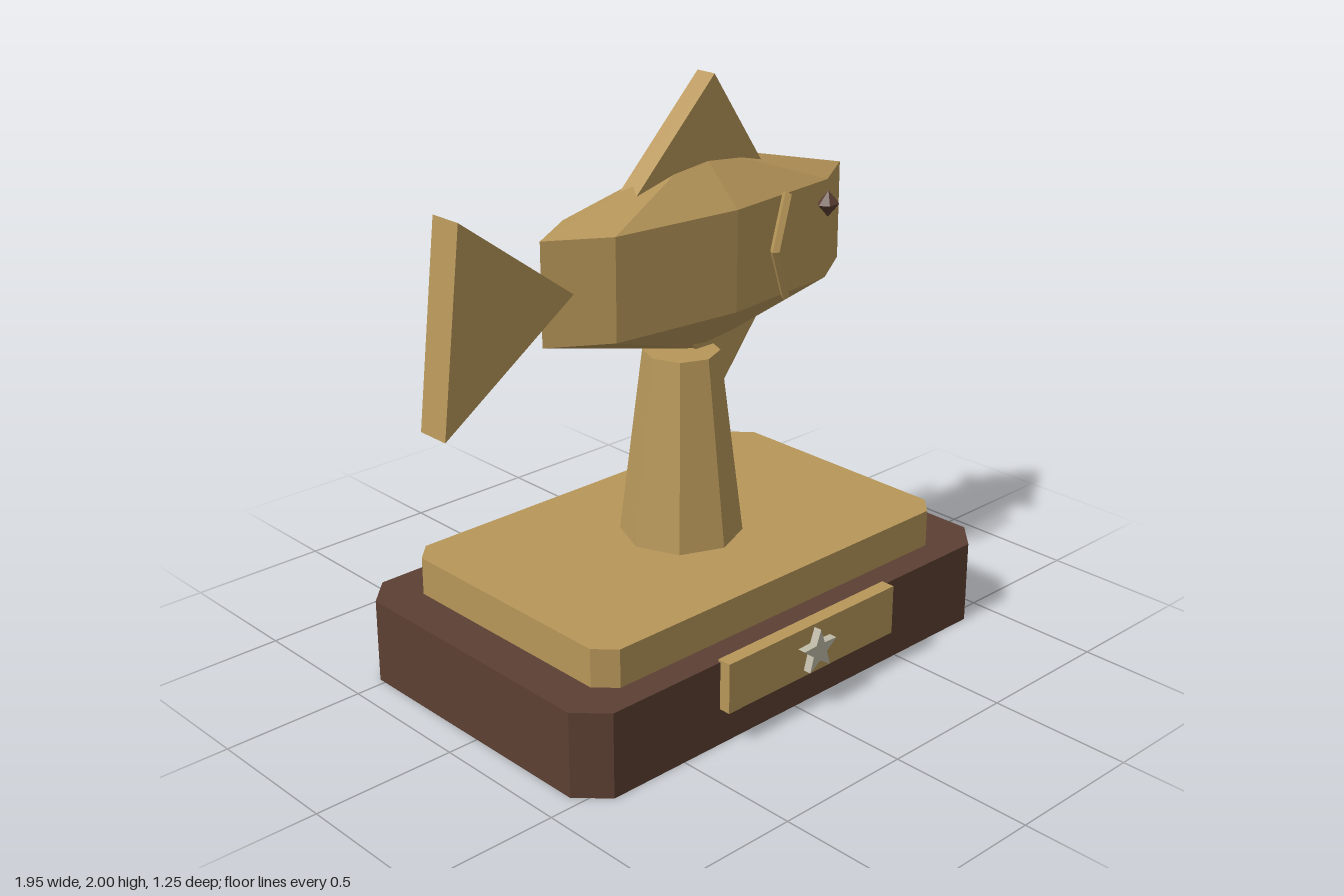
import * as THREE from 'three';

const CX = 0.042, CZ = -0.034; // axis shared by plinth, pedestal and fish

function material(color, extra = {}) {
  return new THREE.MeshStandardMaterial({ color, flatShading: true, ...extra });
}

// Extrudes an outline of [x, y] points, centred on local z = 0
function prism(points, depth) {
  const shape = new THREE.Shape(points.map(([x, y]) => new THREE.Vector2(x, y)));
  return new THREE.ExtrudeGeometry(shape, { depth, bevelEnabled: false }).translate(0, 0, -depth / 2);
}

// Slab with cut corners, standing on y = 0
function chamferedSlab(w, h, d, c) {
  const x = w / 2, z = d / 2;
  const outline = [
    [-x + c, -z], [x - c, -z], [x, -z + c], [x, z - c],
    [x - c, z], [-x + c, z], [-x, z - c], [-x, -z + c],
  ];
  return prism(outline, h).rotateX(-Math.PI / 2).translate(0, h / 2, 0);
}

export function createModel() {
  const model = new THREE.Group();
  const gold = material(0xb8975a);
  const wood = material(0x5c4033);
  const silver = material(0xc0bba8);
  const goldOpen = material(0xb8975a, { side: THREE.DoubleSide });

  function add(name, geometry, mat, x, y, z, parent = model) {
    const mesh = new THREE.Mesh(geometry, mat);
    mesh.name = name;
    mesh.position.set(x, y, z);
    parent.add(mesh);
    return mesh;
  }

  // Plinth
  add('base', chamferedSlab(1.865, 0.297, 1.176, 0.096), wood, CX, 0, CZ);
  add('upperBase', chamferedSlab(1.57, 0.133, 0.98, 0.065), gold, CX, 0.297, CZ);

  // Plaque with a star
  add('plaque', new THREE.BoxGeometry(0.776, 0.176, 0.05), gold, CX, 0.217, 0.57);
  const star = [];
  for (let i = 0; i < 10; i++) {
    const r = i % 2 ? 0.033 : 0.079;
    const a = Math.PI / 2 + (i * Math.PI) / 5;
    star.push([r * Math.cos(a), r * Math.sin(a)]);
  }
  add('star', prism(star, 0.03), silver, CX, 0.216, 0.609);

  // Tapered eight-sided pedestal
  add('pedestal', new THREE.CylinderGeometry(0.13, 0.21, 0.655, 8), gold, CX, 0.7575, CZ);

  // Fish
  const fish = new THREE.Group();
  fish.name = 'fish';
  fish.position.z = CZ;
  model.add(fish);

  const body = new THREE.SphereGeometry(1, 8, 3).scale(0.778, 0.346, 0.202);
  add('body', body, gold, 0.124, 1.412, 0, fish);

  add('dorsalFin', prism([[-0.19, 1.66], [0.38, 1.66], [0.15, 2]], 0.078), gold, 0, 0, 0, fish);
  add('tailFin', prism([[-0.47, 1.412], [-0.9, 1.73], [-0.98, 1.065]], 0.12), gold, 0, 0, 0, fish);
  add('bellyFin', prism([[0.2, 0.93], [0.39, 1.17], [0.05, 1.12]], 0.065), gold, 0, 0, 0, fish);

  // Eyes and bent gill bars on both sides
  const eye = new THREE.SphereGeometry(1, 6, 2).scale(0.046, 0.046, 0.034);
  const arc = THREE.MathUtils.degToRad(100);
  const gill = new THREE.TorusGeometry(0.228, 0.017, 4, 2, arc).rotateZ(Math.PI - arc / 2);
  for (const side of [1, -1]) {
    const label = side > 0 ? 'front' : 'back';
    add(label + 'Eye', eye, wood, 0.578, 1.51, side * 0.15, fish);
    const bar = add(label + 'Gill', gill, goldOpen, 0.476, 1.425, side * 0.146, fish);
    bar.rotation.y = side * 0.3;
  }

  return model;
}
